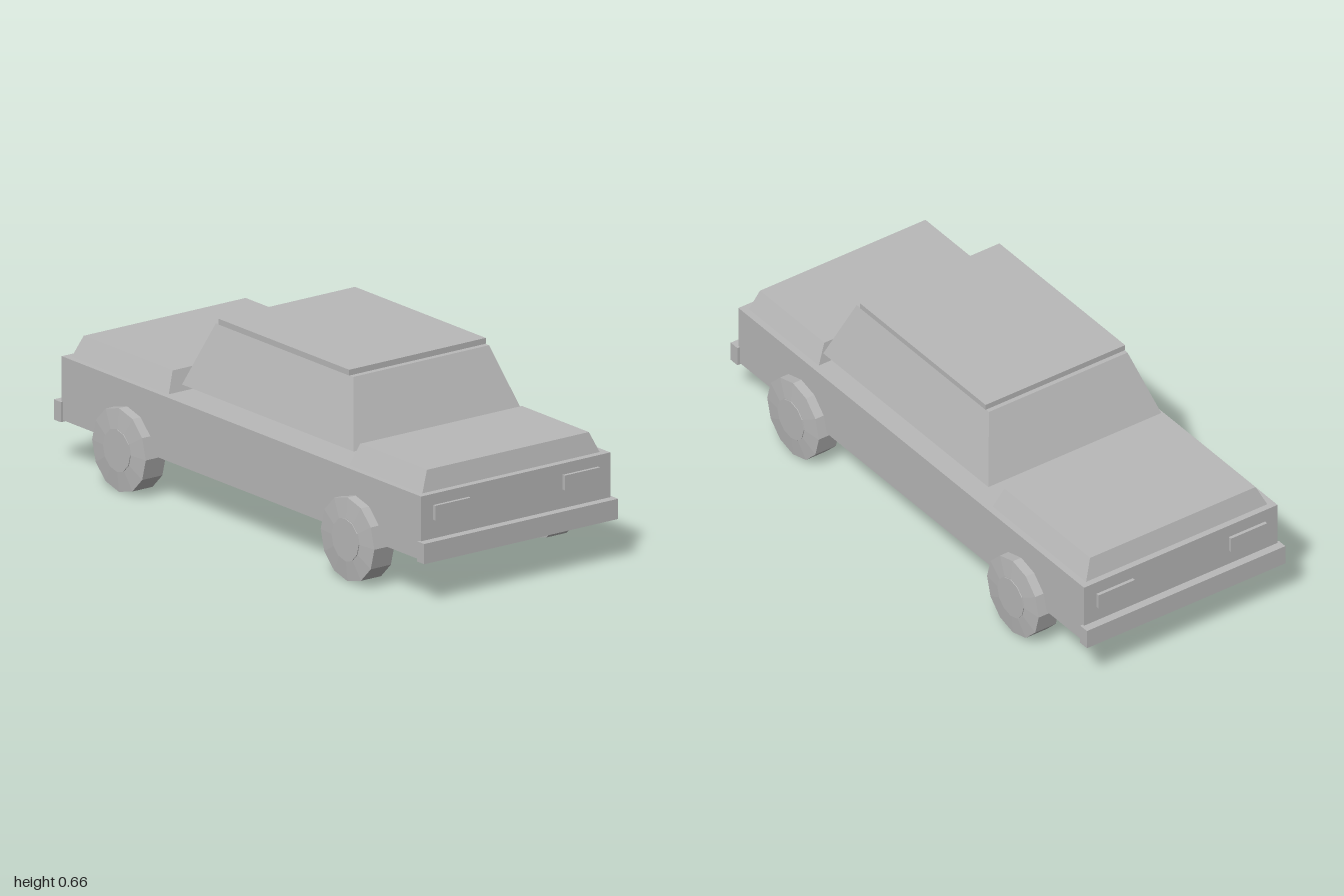
import * as THREE from 'three';

const paint = new THREE.MeshStandardMaterial({ color: 0xb8b8b8, flatShading: true });
paint.name = 'light grey';

function add(parent, name, geometry) {
  const mesh = new THREE.Mesh(geometry, paint);
  mesh.name = name;
  parent.add(mesh);
  return mesh;
}

// Plain block from its half width and its y and z limits
function block(halfWidth, y0, y1, z0, z1, x = 0) {
  return new THREE.BoxGeometry(halfWidth * 2, y1 - y0, z1 - z0)
    .translate(x, (y0 + y1) / 2, (z0 + z1) / 2);
}

// Block whose top face is a smaller rectangle; each end is [half width, y, z min, z max]
function tapered([w0, y0, b0, f0], [w1, y1, b1, f1]) {
  const geometry = new THREE.BoxGeometry(2, 2, 2);
  const p = geometry.attributes.position;
  for (let i = 0; i < p.count; i++) {
    const top = p.getY(i) > 0, front = p.getZ(i) > 0;
    p.setXYZ(i, p.getX(i) * (top ? w1 : w0), top ? y1 : y0,
      top ? (front ? f1 : b1) : (front ? f0 : b0));
  }
  geometry.computeVertexNormals();
  return geometry;
}

function makeWheel() {
  const wheel = new THREE.Group();
  // Twelve-sided tyre with sloping side walls
  const profile = [[0, -0.049], [0.075, -0.049], [0.145, -0.042],
    [0.145, 0.042], [0.075, 0.049], [0, 0.049]].map(([r, y]) => new THREE.Vector2(r, y));
  add(wheel, 'tyre', new THREE.LatheGeometry(profile, 12).rotateZ(Math.PI / 2));
  // Hub shows on both sides of the tyre
  add(wheel, 'hub', new THREE.CylinderGeometry(0.073, 0.073, 0.104, 12).rotateZ(Math.PI / 2));
  return wheel;
}

export function createModel() {
  const car = new THREE.Group();
  car.name = 'car';

  // Lower body with raised bonnet and boot lids
  add(car, 'body', block(0.395, 0.155, 0.375, -0.97, 0.97));
  add(car, 'bonnet', tapered([0.37, 0.375, 0.553, 0.945], [0.338, 0.446, 0.567, 0.928]));
  add(car, 'boot', tapered([0.37, 0.375, -0.947, -0.424], [0.338, 0.446, -0.925, -0.445]));

  // Cabin sits a little clear of the body, with a thin roof panel
  add(car, 'cabin', tapered([0.353, 0.418, -0.375, 0.552], [0.283, 0.64, -0.282, 0.46]));
  add(car, 'roof', block(0.285, 0.64, 0.66, -0.266, 0.44));

  // Bumpers and lamps at both ends
  add(car, 'frontBumper', block(0.405, 0.15, 0.22, 0.962, 1));
  add(car, 'rearBumper', block(0.405, 0.15, 0.22, -1, -0.962));
  for (const side of [-1, 1]) {
    add(car, 'headlight', block(0.074, 0.285, 0.336, 0.965, 0.982, side * 0.27));
    add(car, 'tailLight', block(0.074, 0.275, 0.329, -0.982, -0.965, side * 0.27));
  }

  // Wheels
  for (const x of [-0.387, 0.387]) {
    for (const [name, z] of [['frontWheel', 0.617], ['rearWheel', -0.617]]) {
      const wheel = makeWheel();
      wheel.name = name;
      wheel.position.set(x, 0.145, z);
      car.add(wheel);
    }
  }
  return car;
}
